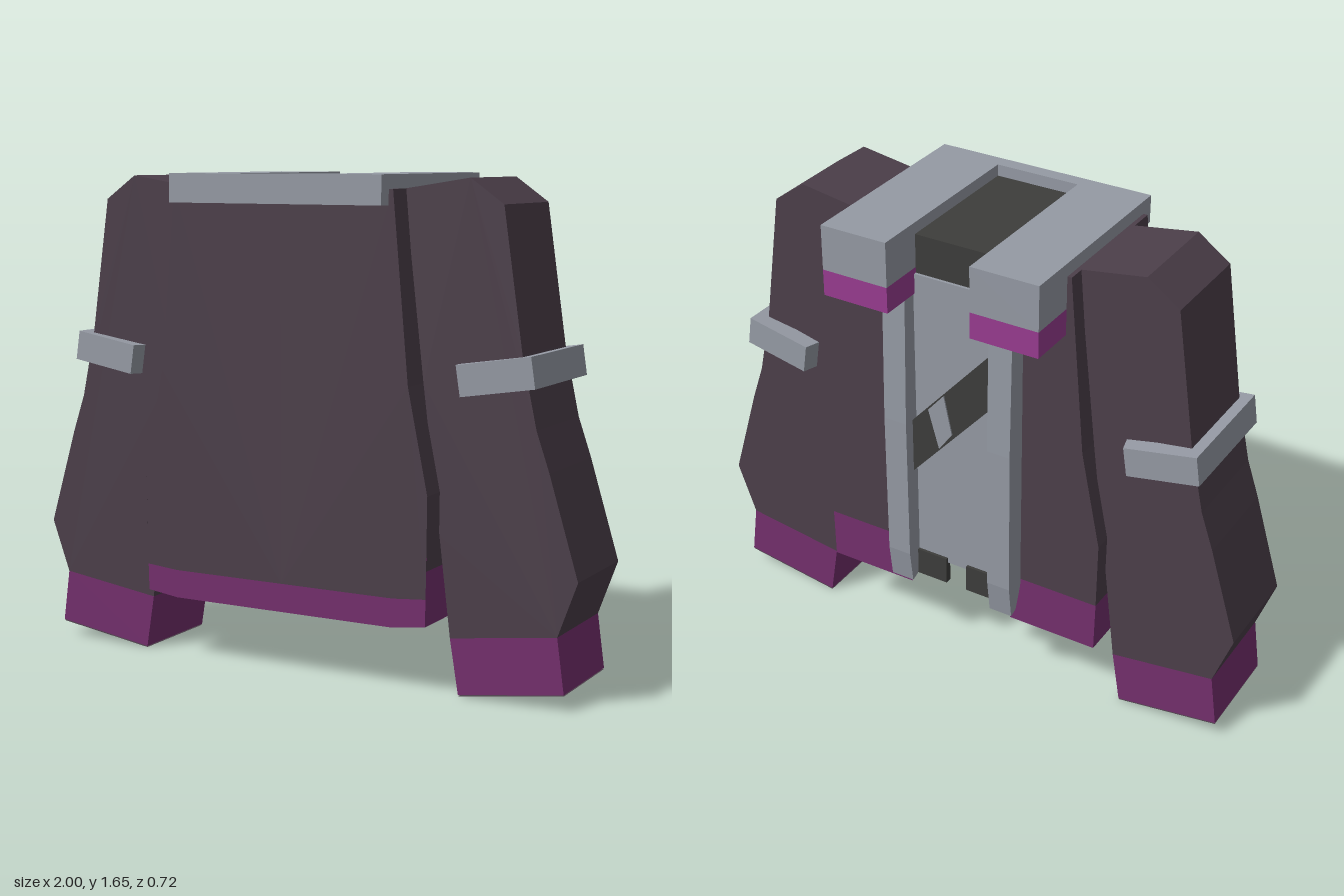
import * as THREE from 'three';

const mat = (name, color) =>
  new THREE.MeshStandardMaterial({ name, color, side: THREE.DoubleSide });

export function createModel() {
  const plum = mat('plum cloth', 0x4c3f4a);
  const purple = mat('purple trim', 0x742f6d);
  const violet = mat('violet accent', 0x983c90);
  const grey = mat('grey metal', 0x959aa4);
  const dark = mat('dark lining', 0x3d3d3b);

  const root = new THREE.Group();
  root.name = 'jacket';

  const add = (parent, name, geo, material) => {
    const mesh = new THREE.Mesh(geo, material);
    mesh.name = name;
    parent.add(mesh);
    return mesh;
  };
  const shape = (pts) => new THREE.Shape(pts.map(([x, y]) => new THREE.Vector2(x, y)));
  // Outline in x and y, given depth from z0 to z1
  const slab = (pts, z0, z1) =>
    new THREE.ExtrudeGeometry(shape(pts), { depth: z1 - z0, bevelEnabled: false }).translate(0, 0, z0);
  // Flat sheet at a given z
  const sheet = (pts, z) => new THREE.ShapeGeometry(shape(pts)).translate(0, 0, z);
  // Box given by its limits
  const box = (x0, x1, y0, y1, z0, z1) =>
    new THREE.BoxGeometry(x1 - x0, y1 - y0, z1 - z0)
      .translate((x0 + x1) / 2, (y0 + y1) / 2, (z0 + z1) / 2);
  // Folded wall that follows a line in x and y (top to bottom) between two depths
  const wall = (line, z0, z1) => {
    const pos = [];
    for (let i = 0; i + 1 < line.length; i++) {
      const [ax, ay] = line[i], [bx, by] = line[i + 1];
      pos.push(ax, ay, z1, bx, by, z1, bx, by, z0, ax, ay, z1, bx, by, z0, ax, ay, z0);
    }
    const geo = new THREE.BufferGeometry();
    geo.setAttribute('position', new THREE.Float32BufferAttribute(pos, 3));
    geo.computeVertexNormals();
    return geo;
  };

  const F = 0.31, B = -0.19; // front and back of the hollow body
  const flank = [[0.405, 1.61], [0.46, 1.0], [0.53, 0.66]];

  for (const side of [1, -1]) {
    const half = new THREE.Group();
    half.name = side > 0 ? 'leftHalf' : 'rightHalf';
    half.scale.x = side;
    root.add(half);

    // Body walls, open at the bottom
    add(half, 'bodyFront', sheet([[0, 0.32], [0.41, 0.32], [0.527, 0.33], ...[...flank].reverse(), [0, 1.61]], F), plum);
    add(half, 'frontHem', sheet([[0, 0.225], [0.41, 0.225], [0.525, 0.24], [0.527, 0.33], [0.41, 0.32], [0, 0.32]], F), purple);
    add(half, 'bodySide', wall([...flank, [0.528, 0.42]], B, F), plum);
    add(half, 'sideHem', wall([[0.528, 0.42], [0.525, 0.24]], B, F), purple);
    add(half, 'bodyBack', sheet([[0.15, 0.42], [0.528, 0.42], ...[...flank].reverse(), [0.15, 1.61]], B), plum);
    add(half, 'backHem', sheet([[0.2, 0.24], [0.525, 0.24], [0.528, 0.42], [0.2, 0.42]], B), purple);
    add(half, 'shoulderTop', wall([[0.15, 1.61], [0.405, 1.61]], B, F), plum);

    // Sleeve and cuff
    const arm = new THREE.Group();
    arm.name = 'arm';
    half.add(arm);
    add(arm, 'sleeve', slab([
      [0.57, 0.19], [0.935, 0.24], [1.0, 0.42], [0.9, 0.75], [0.855, 0.88], [0.805, 1.11],
      [0.738, 1.565], [0.625, 1.645], [0.4, 1.61], [0.47, 1.0], [0.53, 0.52],
    ], -0.13, 0.22), plum);
    add(arm, 'cuff', slab([[0.6, 0.008], [0.96, 0.06], [0.935, 0.24], [0.57, 0.19]], -0.13, 0.22), purple);
    add(arm, 'cuffOpening', wall([[0.96, 0.056], [0.6, 0.004]], -0.13, 0.22), plum);

    // Tilted clip that wraps the outside of the sleeve
    const clip = new THREE.ExtrudeGeometry(shape([
      [0.13, -0.25], [0.13, 0.18], [-0.115, 0.195], [-0.13, 0.14], [0.07, 0.12],
      [0.07, -0.2], [-0.13, -0.215], [-0.115, -0.27],
    ]), { depth: 0.1, bevelEnabled: false }).translate(0, 0, -0.05).rotateX(-Math.PI / 2);
    const band = add(arm, 'armBand', clip, grey);
    band.position.set(0.725, 1.04, 0);
    band.rotation.z = 0.15;

    // Collar strip ending in a block behind the shoulder
    add(half, 'collarStrip', box(0.15, 0.39, 1.56, 1.655, B, F), grey);
    add(half, 'collarBlock', box(0.15, 0.39, 1.5, 1.655, -0.36, B), grey);
    add(half, 'collarBlockTip', box(0.15, 0.39, 1.41, 1.5, -0.36, B), violet);

    // Back rail, a side profile given width across x
    const rail = new THREE.ExtrudeGeometry(shape([
      [0.18, 1.42], [0.256, 1.42], [0.268, 0.95], [0.266, 0.42], [0.25, 0.3], [0.22, 0.31], [0.18, 0.42],
    ]), { depth: 0.085, bevelEnabled: false }).rotateY(Math.PI / 2).translate(0.155, 0, 0);
    add(half, 'backRail', rail, grey);
    add(half, 'panelTab', box(0.04, 0.16, 0.31, 0.41, -0.215, B), dark);
  }

  // Front of the collar and the lining inside it
  add(root, 'collarFront', box(-0.39, 0.39, 1.56, 1.655, F, 0.36), grey);
  add(root, 'neckLining', box(-0.15, 0.15, 1.6, 1.615, B, F), dark);
  add(root, 'backLining', box(-0.2, 0.2, 0.39, 1.615, -0.195, -0.185), dark);

  // Back panel with a diagonal strap and buckle
  add(root, 'backPanel', box(-0.16, 0.16, 0.39, 1.48, -0.205, -0.195), grey);
  const band = (x0, x1, h) => {
    const y = (x) => 1.02 - 1.12 * x;
    return [[x0, y(x0) - h], [x1, y(x1) - h], [x1, y(x1) + h], [x0, y(x0) + h]];
  };
  add(root, 'backStrap', slab(band(-0.16, 0.16, 0.1), -0.228, -0.2), dark);
  add(root, 'strapBuckle', slab([[0.0, 0.94], [0.05, 0.87], [0.09, 1.01], [0.03, 1.08]], -0.233, -0.225), grey);

  return root;
}
